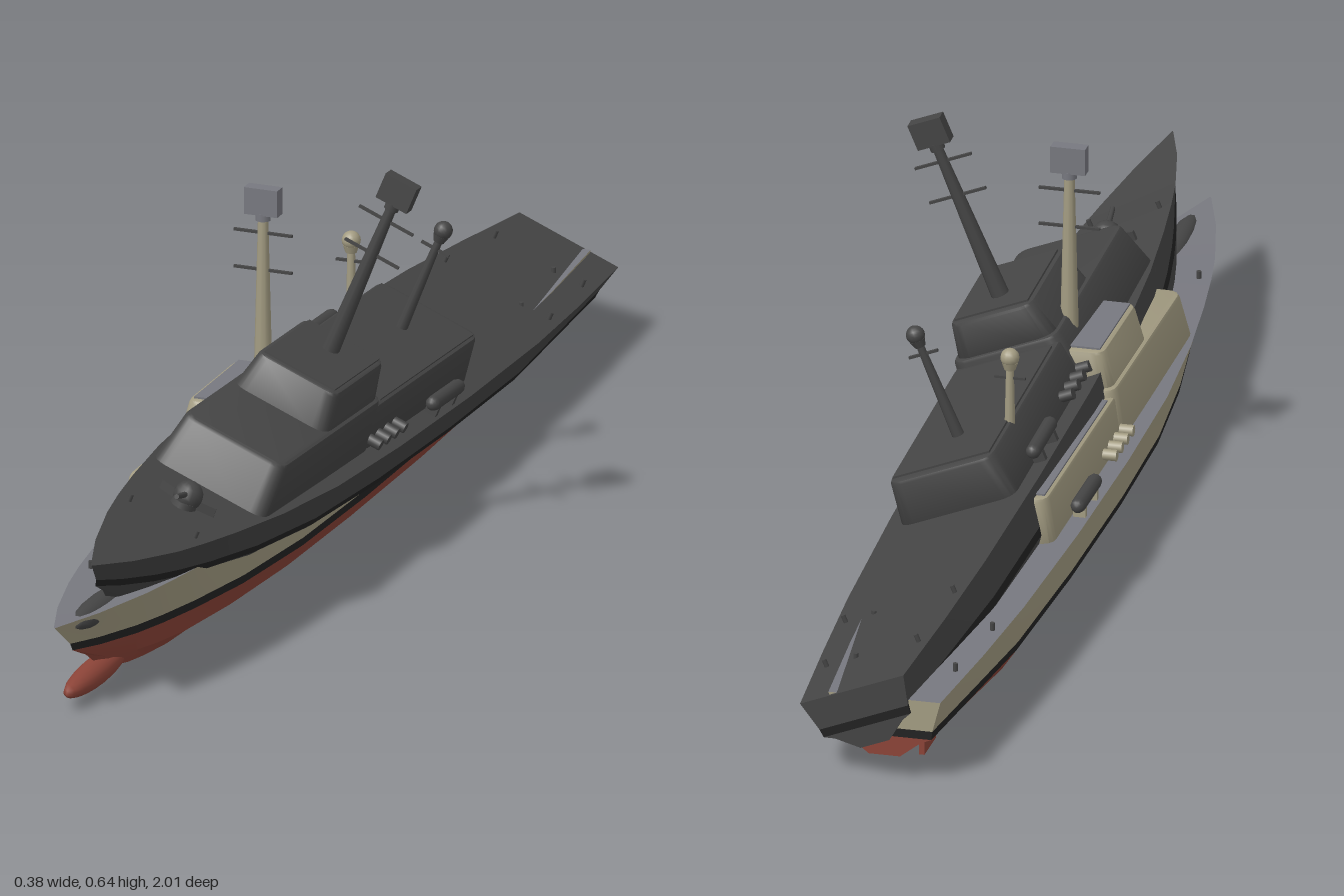
import * as THREE from 'three';
import { mergeGeometries, toCreasedNormals } from 'three/addons/utils/BufferGeometryUtils.js';

const mat = (name, color) => {
  const m = new THREE.MeshStandardMaterial({ color });
  m.name = name;
  return m;
};

// Hull stations: z, deck half width, deck y, keel y, stripe y, lower fullness
const STATIONS = [
  [-1, 0.09, 0.137, 0.04, 0.073, 0.93], [-0.8, 0.107, 0.137, 0.018, 0.068, 0.95],
  [-0.6, 0.12, 0.138, 0.003, 0.064, 1], [-0.3, 0.129, 0.139, 0, 0.062, 1],
  [0, 0.131, 0.14, 0, 0.062, 1], [0.25, 0.127, 0.142, 0, 0.062, 0.98],
  [0.45, 0.113, 0.145, 0, 0.063, 0.92], [0.6, 0.095, 0.148, 0.002, 0.067, 0.84],
  [0.7, 0.08, 0.15, 0.008, 0.071, 0.77], [0.78, 0.065, 0.151, 0.014, 0.075, 0.7],
  [0.9, 0.035, 0.154, 0.026, 0.085, 0.6], [1, 0.0008, 0.157, 0.045, 0.096, 0.6],
];

// One ring: deck edge down to the bottom on +x, then up again on -x
function section([z, b, deck, keel, stripe, full]) {
  const rake = Math.max(0, (z - 0.5) / 0.5) ** 2;
  const half = [
    [b, deck, 0], [b * 0.92 * full, stripe + 0.014, 0.065], [b * 0.9 * full, stripe, 0.075],
    [b * 0.7 * full, keel + 0.026, 0.13], [b * 0.3 * full, keel, 0.17],
  ].map(([x, y, r]) => new THREE.Vector3(x, y, z - r * rake));
  return [...half, ...half.slice().reverse().map(p => new THREE.Vector3(-p.x, p.y, p.z))];
}

// Surface through rows of points
function loft(rows) {
  const n = rows[0].length, pos = [], idx = [];
  rows.forEach(r => r.forEach(p => pos.push(p.x, p.y, p.z)));
  for (let i = 0; i < rows.length - 1; i++) {
    for (let j = 0; j < n - 1; j++) {
      const a = i * n + j, c = a + n;
      idx.push(a, c, a + 1, c, c + 1, a + 1);
    }
  }
  const g = new THREE.BufferGeometry();
  g.setAttribute('position', new THREE.Float32BufferAttribute(pos, 3));
  g.setIndex(idx);
  return toCreasedNormals(g, 0.35);
}

// Rounded deckhouse whose walls lean inward; the front leans most
function houseGeometry(halfW, zBack, zFront, y0, y1, lean, frontLean) {
  const r = 0.02, e = 0.006, w = halfW - e, a = zBack + e, b = zFront - e;
  const s = new THREE.Shape();
  s.moveTo(-w + r, -b);
  s.lineTo(w - r, -b).quadraticCurveTo(w, -b, w, -b + r);
  s.lineTo(w, -a - r).quadraticCurveTo(w, -a, w - r, -a);
  s.lineTo(-w + r, -a).quadraticCurveTo(-w, -a, -w, -a - r);
  s.lineTo(-w, -b + r).quadraticCurveTo(-w, -b, -w + r, -b);
  const g = new THREE.ExtrudeGeometry(s, {
    depth: y1 - y0 - e, bevelThickness: e, bevelSize: e, bevelSegments: 2, curveSegments: 4,
  });
  g.rotateX(-Math.PI / 2).translate(0, y0, 0);
  const p = g.attributes.position, mid = (zBack + zFront) / 2;
  for (let i = 0; i < p.count; i++) {
    const t = Math.max(0, (p.getY(i) - y0) / (y1 - y0)), z = p.getZ(i);
    p.setX(i, p.getX(i) * (1 - t * lean / halfW));
    if (z > mid) p.setZ(i, z - t * frontLean * (z - mid) / (zFront - mid));
  }
  return toCreasedNormals(g, 0.6);
}

function buildShip(c) {
  const ship = new THREE.Group();
  const add = (name, geometry, material, x = 0, y = 0, z = 0) => {
    const m = new THREE.Mesh(geometry, material);
    m.name = name;
    m.position.set(x, y, z);
    ship.add(m);
    return m;
  };
  const box = (w, h, d) => new THREE.BoxGeometry(w, h, d);
  const cyl = (r1, r2, h, n = 12) => new THREE.CylinderGeometry(r1, r2, h, n);

  // Hull in colour bands, with the matching slices of the transom
  const rings = STATIONS.map(section);
  const band = (a, b) => loft(rings.map(r => r.slice(a, b + 1)));
  const transom = (a, b) => {
    const right = rings[0].slice(a, b + 1);
    return loft([right.map(p => new THREE.Vector3(-p.x, p.y, p.z)), right]);
  };
  add('topsides', mergeGeometries([band(0, 1), band(8, 9), transom(0, 1)]), c.paint);
  add('waterlineStripe', mergeGeometries([band(1, 2), band(7, 8), transom(1, 2)]), c.stripe);
  add('lowerHull', mergeGeometries([band(2, 7), transom(2, 4)]), c.bottom);
  add('mainDeck', loft(rings.map(r => [r[9], r[0]])), c.deck);

  // Bow bulb and twin rudders
  add('bowBulb', new THREE.SphereGeometry(1, 16, 12), c.bottom, 0, 0.03, 0.83).scale.set(0.023, 0.021, 0.12);
  for (const s of [-1, 1]) add('rudder', box(0.009, 0.05, 0.07), c.bottom, s * 0.035, 0.03, -0.87);

  // Bow marking on both sides, following the hull plating
  if (c.mark) {
    const A = rings[8], B = rings[9];
    const at = (u, v) => new THREE.Vector3().lerpVectors(
      A[1].clone().lerp(A[0], v), B[1].clone().lerp(B[0], v), u).add(new THREE.Vector3(0.002, -0.001, 0));
    const right = [[at(-0.1, 0.1), at(0.2, 0.6)], [at(0.6, 0.1), at(0.75, 0.5)]];
    const left = right.map(r => r.map(p => new THREE.Vector3(-p.x, p.y, p.z)));
    add('bowMark', mergeGeometries([loft(right), loft(left)]), c.mark);
  }

  // Deckhouses with thin roof plates
  add('forwardHouse', houseGeometry(0.104, 0.06, 0.515, 0.13, 0.226, 0.013, 0.04), c.paint);
  add('aftHouse', houseGeometry(0.102, -0.355, 0.09, 0.13, 0.213, 0.012, 0), c.paint);
  add('aftRoof', box(0.168, 0.004, 0.385), c.deck, 0, 0.214, -0.145);
  add('bridge', houseGeometry(0.086, 0.065, 0.292, 0.22, 0.286, 0.014, 0.018), c.paint);
  add('bridgeRoof', box(0.128, 0.004, 0.185), c.deck, 0, 0.287, 0.17);

  // Main mast with yards and radar panel
  add('mainMast', cyl(0.008, 0.015, 0.28, 10), c.paint, 0, 0.415, 0.135);
  for (const y of [0.465, 0.526]) add('yard', box(0.098, 0.004, 0.005), c.fitting, 0, y, 0.135);
  add('radarNeck', cyl(0.012, 0.012, 0.012), c.deck, 0, 0.553, 0.135);
  add('radarPanel', box(0.056, 0.044, 0.022), c.deck, 0, 0.579, 0.135);

  // Aft mast with dome
  add('aftMast', cyl(0.006, 0.01, 0.17, 10), c.paint, 0, 0.295, -0.23);
  add('aftYard', box(0.05, 0.004, 0.005), c.fitting, 0, 0.36, -0.23);
  add('domeBase', cyl(0.013, 0.009, 0.012), c.paint, 0, 0.38, -0.23);
  add('dome', new THREE.SphereGeometry(0.015, 14, 10), c.paint, 0, 0.394, -0.23);

  // Deck gun
  add('gunBase', cyl(0.02, 0.022, 0.012), c.deck, 0, 0.152, 0.61);
  add('gunTurret', new THREE.SphereGeometry(0.024, 12, 8), c.deck, 0, 0.164, 0.605);
  add('gunBarrel', cyl(0.004, 0.005, 0.06, 8), c.fitting, 0, 0.175, 0.64).rotation.x = 1.35;
  for (const s of [-1, 1]) {
    add('breakwater', box(0.05, 0.016, 0.006), c.deck, s * 0.024, 0.155, 0.6).rotation.y = s * 0.2;
  }

  for (const s of [-1, 1]) {
    // Side boats on cradles
    const boat = add('sideBoat', new THREE.CapsuleGeometry(0.012, 0.1, 4, 10), c.fitting, s * 0.115, 0.164, -0.2);
    boat.rotation.x = Math.PI / 2;
    for (const z of [-0.235, -0.165]) add('boatCradle', box(0.02, 0.016, 0.01), c.paint, s * 0.114, 0.148, z);
    // Raft canisters
    for (let i = 0; i < 4; i++) {
      add('raftCanister', cyl(0.009, 0.009, 0.022, 10), c.paint, s * 0.109, 0.158, -0.03 + i * 0.034).rotation.z = Math.PI / 2;
    }
    // Bollards
    for (const [x, y, z] of [[0.08, 0.142, -0.87], [0.095, 0.142, -0.7], [0.06, 0.154, 0.7]]) {
      add('bollard', cyl(0.004, 0.004, 0.016, 8), c.fitting, s * x, y, z);
    }
  }
  return ship;
}

export function createModel() {
  const model = new THREE.Group();
  const black = mat('black', 0x222222), charcoal = mat('charcoal', 0x454545);
  const red = mat('hullRed', 0x8c4438), tan = mat('tanGrey', 0xa39c82);
  const grey = mat('deckGrey', 0x77787f), blue = mat('blue', 0x4a86c8);

  // Upright painted ship
  const painted = buildShip({ paint: tan, stripe: black, bottom: red, deck: grey, fitting: charcoal, mark: blue });
  painted.name = 'paintedShip';
  painted.position.set(-0.06, 0, 0);

  // Dark ship, heeled over and bow up
  const dark = buildShip({ paint: charcoal, stripe: black, bottom: charcoal, deck: charcoal, fitting: charcoal });
  dark.name = 'darkShip';
  dark.position.set(-0.06, 0.07, 0);
  dark.rotation.set(-0.05, 0, -0.383);

  model.add(painted, dark);
  return model;
}
